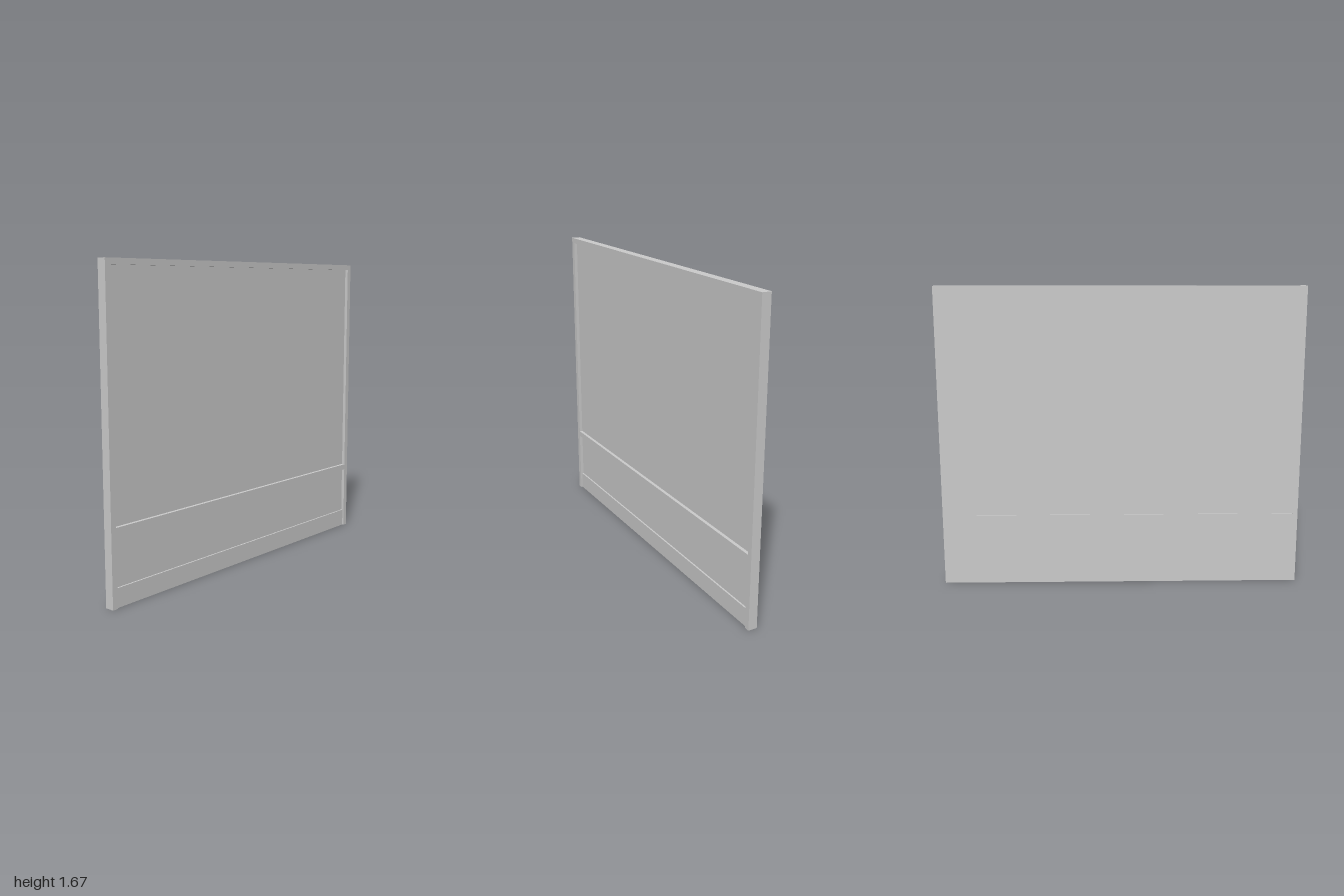
import * as THREE from 'three';

const HALF = 1, HEIGHT = 1.67, BACK = -0.025, FRONT = 0.025, FRAME = 0.03;

export function createModel() {
  const model = new THREE.Group();
  model.name = 'framedPanel';
  const material = new THREE.MeshStandardMaterial({ color: 0xcccccc, flatShading: true });

  // Box given by its limits on each axis
  function board(name, x0, x1, y0, y1, z0, z1) {
    const mesh = new THREE.Mesh(new THREE.BoxGeometry(x1 - x0, y1 - y0, z1 - z0), material);
    mesh.position.set((x0 + x1) / 2, (y0 + y1) / 2, (z0 + z1) / 2);
    mesh.name = name;
    model.add(mesh);
  }

  const inner = HALF - FRAME;

  // Frame: side posts, top rail and a cross rail set just in from the back
  board('rightPost', -HALF, -inner, 0, HEIGHT, BACK, FRONT);
  board('leftPost', inner, HALF, 0, HEIGHT, BACK, FRONT);
  board('topRail', -inner, inner, HEIGHT - FRAME, HEIGHT, BACK, FRONT);
  board('crossRail', -inner, inner, 0.37, 0.403, BACK + 0.005, FRONT);

  // Recessed panels, flush at the back with a fine seam between them
  const panelFront = FRONT - 0.018;
  board('upperPanel', -inner, inner, 0.403, HEIGHT - FRAME, BACK, panelFront);
  board('lowerPanel', -inner, inner, 0, 0.40, BACK, panelFront);

  // Skirting board along the foot of the lower panel
  board('skirting', -inner, inner, 0, 0.1, panelFront, FRONT - 0.009);

  return model;
}
